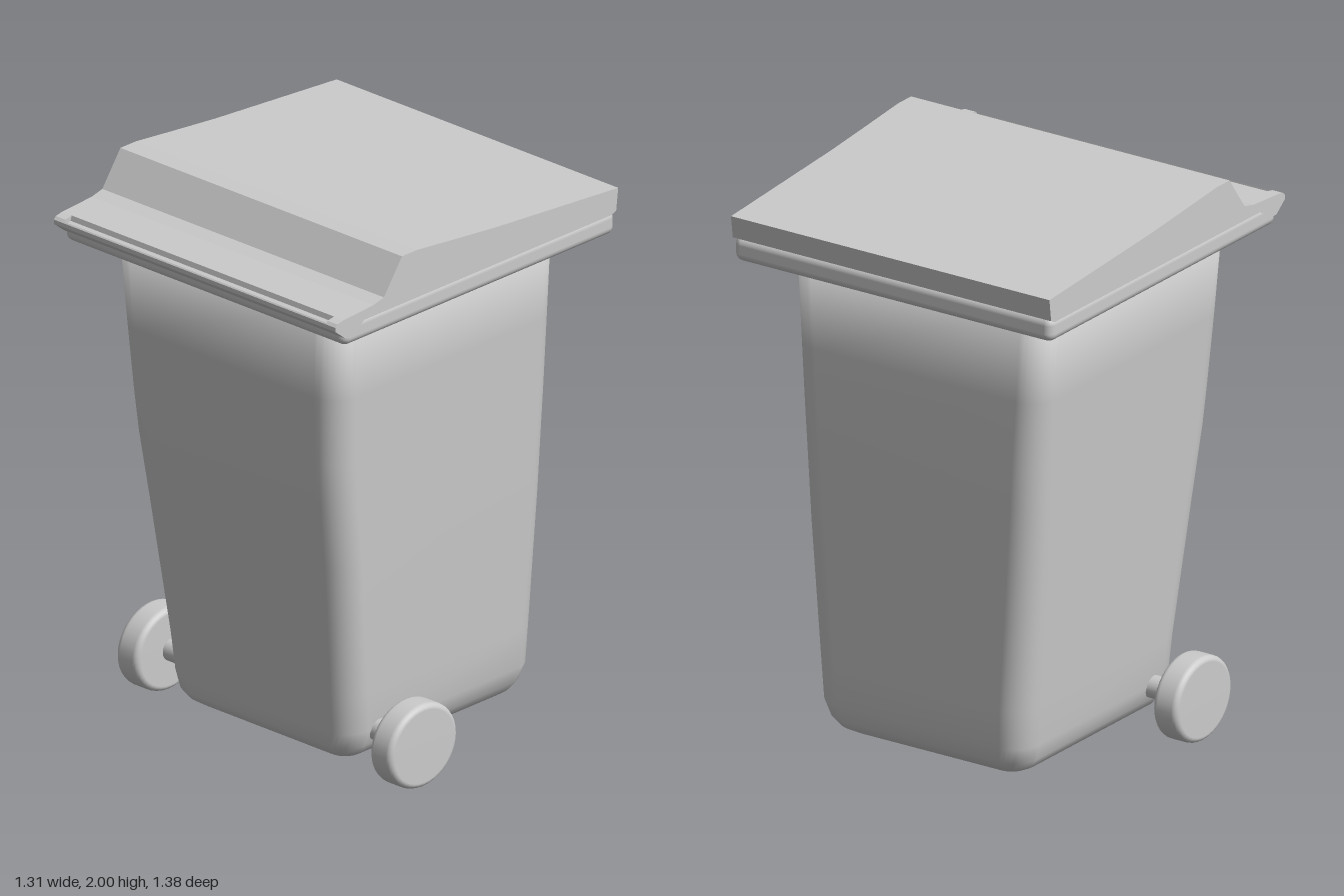
import * as THREE from 'three';
import { RoundedBoxGeometry } from 'three/addons/geometries/RoundedBoxGeometry.js';

const material = new THREE.MeshStandardMaterial({ color: 0xcccccc });

function add(parent, name, geometry, x = 0, y = 0, z = 0) {
  const mesh = new THREE.Mesh(geometry, material);
  mesh.name = name;
  mesh.position.set(x, y, z);
  parent.add(mesh);
  return mesh;
}

// Rounded rectangle in the xz plane, running from +x towards +z
function ring([y, x0, x1, z0, z1, r], steps = 8) {
  const points = [];
  const corners = [[x1 - r, z1 - r], [x0 + r, z1 - r], [x0 + r, z0 + r], [x1 - r, z0 + r]];
  corners.forEach(([cx, cz], k) => {
    for (let i = 0; i <= steps; i++) {
      const a = (k + i / steps) * Math.PI / 2;
      points.push([cx + r * Math.cos(a), y, cz + r * Math.sin(a)]);
    }
  });
  return points;
}

// Smooth skin through rounded rectangles, closed at both ends
function loft(sections) {
  const rings = sections.map((s) => ring(s));
  const n = rings[0].length;
  const positions = rings.flat(2);
  const index = [];
  for (let i = 0; i < rings.length - 1; i++) {
    for (let j = 0; j < n; j++) {
      const a = i * n + j, b = i * n + (j + 1) % n;
      index.push(a, a + n, b, b, a + n, b + n);
    }
  }
  [0, rings.length - 1].forEach((i) => {
    const [y, x0, x1, z0, z1] = sections[i];
    const centre = positions.length / 3;
    positions.push((x0 + x1) / 2, y, (z0 + z1) / 2);
    for (let j = 0; j < n; j++) {
      const a = i * n + j, b = i * n + (j + 1) % n;
      index.push(centre, i ? b : a, i ? a : b);
    }
  });
  const geometry = new THREE.BufferGeometry();
  geometry.setAttribute('position', new THREE.Float32BufferAttribute(positions, 3));
  geometry.setIndex(index);
  geometry.computeVertexNormals();
  return geometry;
}

// Side profile of [z, y] points, extruded from x0 to x1
function slab(profile, x0, x1) {
  const shape = new THREE.Shape(profile.map(([z, y]) => new THREE.Vector2(-z, y)));
  const geometry = new THREE.ExtrudeGeometry(shape, { depth: x1 - x0, bevelEnabled: false });
  return geometry.rotateY(Math.PI / 2).translate(x0, 0, 0);
}

export function createModel() {
  const bin = new THREE.Group();
  bin.name = 'wheeledBin';

  // Tapered body: y, xMin, xMax, zMin, zMax, corner radius
  add(bin, 'body', loft([
    [0.035, -0.30, 0.30, -0.40, 0.27, 0.04],
    [0.042, -0.35, 0.35, -0.45, 0.32, 0.06],
    [0.065, -0.39, 0.385, -0.49, 0.355, 0.08],
    [0.10, -0.415, 0.41, -0.515, 0.38, 0.09],
    [0.16, -0.43, 0.43, -0.53, 0.39, 0.095],
    [0.30, -0.44, 0.44, -0.536, 0.405, 0.10],
    [0.80, -0.48, 0.47, -0.55, 0.465, 0.10],
    [1.05, -0.50, 0.48, -0.558, 0.497, 0.10],
    [1.20, -0.51, 0.487, -0.562, 0.51, 0.10],
    [1.45, -0.53, 0.497, -0.568, 0.522, 0.10],
    [1.78, -0.553, 0.513, -0.572, 0.537, 0.10],
  ]));

  // Rim under the lid
  add(bin, 'rim', new RoundedBoxGeometry(1.31, 0.09, 1.325, 4, 0.03), 0, 1.795, -0.018);

  // Lid: side profile, with a shallow slot along the front lip
  const lid = new THREE.Group();
  lid.name = 'lid';
  bin.add(lid);
  const top = [[0.65, 1.856], [0.58, 1.86], [0.505, 1.865], [0.453, 1.877], [0.365, 2],
    [0.29, 2], [0.1, 1.98], [-0.1, 1.96], [-0.69, 1.915], [-0.68, 1.835], [-0.66, 1.825],
    [0.55, 1.825], [0.60, 1.785], [0.64, 1.785], [0.69, 1.825]];
  const lip = [[0.69, 1.84], [0.68, 1.85]];
  const slot = [[0.69, 1.84], [0.686, 1.844], [0.684, 1.832], [0.655, 1.838]];
  add(lid, 'lidEnd', slab([...lip, ...top], -0.655, -0.61));
  add(lid, 'lidMiddle', slab([...slot, ...top], -0.61, 0.61));
  add(lid, 'lidEnd', slab([...lip, ...top], 0.61, 0.655));

  // Axle and slightly oval wheels with rounded edges
  const axleY = 0.151, axleZ = 0.24;
  add(bin, 'axle', new THREE.CylinderGeometry(0.04, 0.04, 1.12, 24).rotateZ(Math.PI / 2), 0, axleY, axleZ);
  const half = 0.051, radius = 0.166, bevel = 0.022;
  const outline = [new THREE.Vector2(0, -half)];
  for (const side of [-1, 1]) {
    for (let i = 0; i <= 5; i++) {
      const a = (side < 0 ? i / 5 - 1 : i / 5) * Math.PI / 2;
      outline.push(new THREE.Vector2(radius - bevel + bevel * Math.cos(a), side * (half - bevel) + bevel * Math.sin(a)));
    }
  }
  outline.push(new THREE.Vector2(0, half));
  for (const side of [-1, 1]) {
    const wheel = new THREE.LatheGeometry(outline, 40).rotateZ(Math.PI / 2).scale(1, 0.151 / radius, 1);
    add(bin, side > 0 ? 'leftWheel' : 'rightWheel', wheel, side * 0.59, axleY, axleZ);
  }
  return bin;
}
